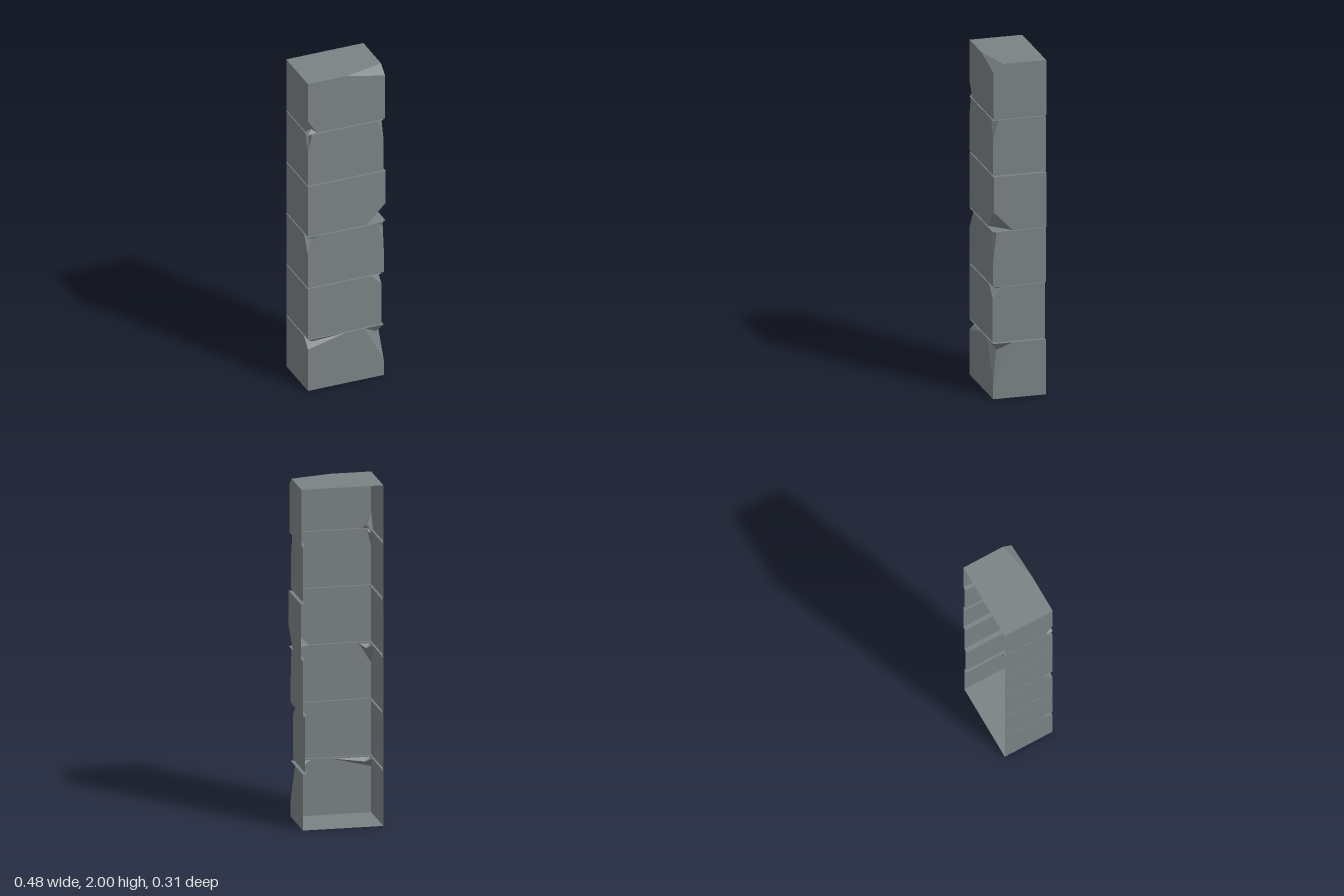
import * as THREE from 'three';

const LEFT = -0.24, FRONT = 0.157, BACK = -0.155, GAP = 0.004, INSET = 0.012;

// Blocks from bottom to top. Each chip sits on a front corner (t/b = top/bottom, l/r = -x/+x):
// a = x where it meets the level edge, b = y on the upright edge, c = z on the side edge,
// p = deepest point of the dent.
const BLOCKS = [
  { right: 0.228, chips: {
    tl: { a: 0, b: 0.27, c: 0.1, p: [-0.2, 0.305, 0.135] },
    tr: { a: 0.11, b: 0.1, c: 0.045, p: [0.19, 0.28, 0.128] } } },
  { right: 0.214, chips: { tr: { a: 0.15, b: 0.6, c: 0.09, p: [0.19, 0.648, 0.132] } } },
  { right: 0.228, chips: {
    tl: { a: -0.165, b: 0.88, c: 0.1, p: [-0.205, 0.972, 0.13] },
    tr: { a: 0.19, b: 0.82, c: 0.138, p: [0.21, 0.975, 0.147] } } },
  { right: 0.24, chips: { br: { a: 0.125, b: 1.12, c: 0.045 } } },
  { right: 0.226, chips: {
    tl: { a: -0.215, b: 1.56, c: 0.115, p: [-0.224, 1.645, 0.138] },
    tr: { a: 0.19, b: 1.54, c: 0.125 } } },
  { right: 0.236, chips: {
    bl: { a: -0.185, b: 1.755, c: 0.115, p: [-0.21, 1.69, 0.135] },
    tr: { a: 0, b: 1.95, c: 0.1, open: true } } },
];

const bottomOf = (i) => (i === 0 ? 0 : i / 3 + GAP);
const topOf = (i) => (i === BLOCKS.length - 1 ? 2 : (i + 1) / 3 - GAP);

// Flat-shaded mesh from convex polygons, each cut into a fan of triangles
function facetMesh(name, polygons, material) {
  const pos = [];
  for (const poly of polygons) {
    for (let i = 1; i < poly.length - 1; i++) pos.push(...poly[0], ...poly[i], ...poly[i + 1]);
  }
  const geo = new THREE.BufferGeometry();
  geo.setAttribute('position', new THREE.Float32BufferAttribute(pos, 3));
  geo.computeVertexNormals();
  const mesh = new THREE.Mesh(geo, material);
  mesh.name = name;
  return mesh;
}

// Three walls of a block, with its front corners chipped
function blockPolygons(block, i) {
  const polys = [];
  const y0 = bottomOf(i), y1 = topOf(i);
  const xOf = (k) => (k[1] === 'l' ? LEFT : block.right);
  const yOf = (k) => (k[0] === 't' ? y1 : y0);
  const level = (k) => [block.chips[k].a, yOf(k), FRONT];
  const upright = (k) => [xOf(k), block.chips[k].b, FRONT];
  const side = (k) => [xOf(k), yOf(k), block.chips[k].c];
  const corner = (k) => [xOf(k), yOf(k), FRONT];
  const cut = (k, first, second) => (block.chips[k] ? [first(k), second(k)] : [corner(k)]);

  polys.push([
    ...cut('bl', upright, level), ...cut('br', level, upright),
    ...cut('tr', upright, level), ...cut('tl', level, upright),
  ]);
  polys.push([
    ...cut('br', upright, side), [block.right, y0, BACK],
    [block.right, y1, BACK], ...cut('tr', side, upright),
  ]);
  polys.push([
    [LEFT, y0, BACK], ...cut('bl', side, upright),
    ...cut('tl', upright, side), [LEFT, y1, BACK],
  ]);

  for (const k of Object.keys(block.chips)) {
    const A = level(k), B = upright(k), C = side(k), K = corner(k), P = block.chips[k].p;
    const flip = (k === 'tl' || k === 'br');
    const add = (...f) => polys.push(flip ? f.reverse() : f);
    if (P) {
      add(A, B, P);
      add(B, C, P);
      add(A, P, K);
      add(K, P, C);
    } else {
      add(A, B, C);
      if (!block.chips[k].open) add(A, C, K);
    }
  }
  return polys;
}

// Recessed joint between a block and the one above it
function seamPolygons(i) {
  const ring = (left, right, front, y) => [
    [left, y, BACK], [left, y, front], [right, y, front], [right, y, BACK],
  ];
  const r0 = BLOCKS[i].right, r1 = BLOCKS[i + 1].right, inner = Math.min(r0, r1) - INSET;
  const y0 = topOf(i), y1 = bottomOf(i + 1);
  const rings = [
    ring(LEFT, r0, FRONT, y0),
    ring(LEFT + INSET, inner, FRONT - INSET, y0),
    ring(LEFT + INSET, inner, FRONT - INSET, y1),
    ring(LEFT, r1, FRONT, y1),
  ];
  const polys = [];
  for (let j = 0; j < 3; j++) {
    for (let s = 0; s < 3; s++) {
      polys.push([rings[j][s], rings[j][s + 1], rings[j + 1][s + 1], rings[j + 1][s]]);
    }
  }
  return polys;
}

export function createModel() {
  const model = new THREE.Group();
  model.name = 'stonePillar';
  const stone = new THREE.MeshStandardMaterial({ color: 0x7b8284, side: THREE.DoubleSide });
  stone.name = 'grey stone';

  BLOCKS.forEach((block, i) => {
    model.add(facetMesh(`block${i + 1}`, blockPolygons(block, i), stone));
    if (i < BLOCKS.length - 1) model.add(facetMesh(`seam${i + 1}`, seamPolygons(i), stone));
  });

  // Closed base and top; the back stays open
  const base = BLOCKS[0].right;
  model.add(facetMesh('base', [[
    [LEFT, 0, BACK], [base, 0, BACK], [base, 0, FRONT], [LEFT, 0, FRONT],
  ]], stone));
  const { right, chips } = BLOCKS[BLOCKS.length - 1];
  model.add(facetMesh('top', [[
    [LEFT, 2, BACK], [LEFT, 2, FRONT], [chips.tr.a, 2, FRONT],
    [right, 2, chips.tr.c], [right, 2, BACK],
  ]], stone));
  return model;
}
